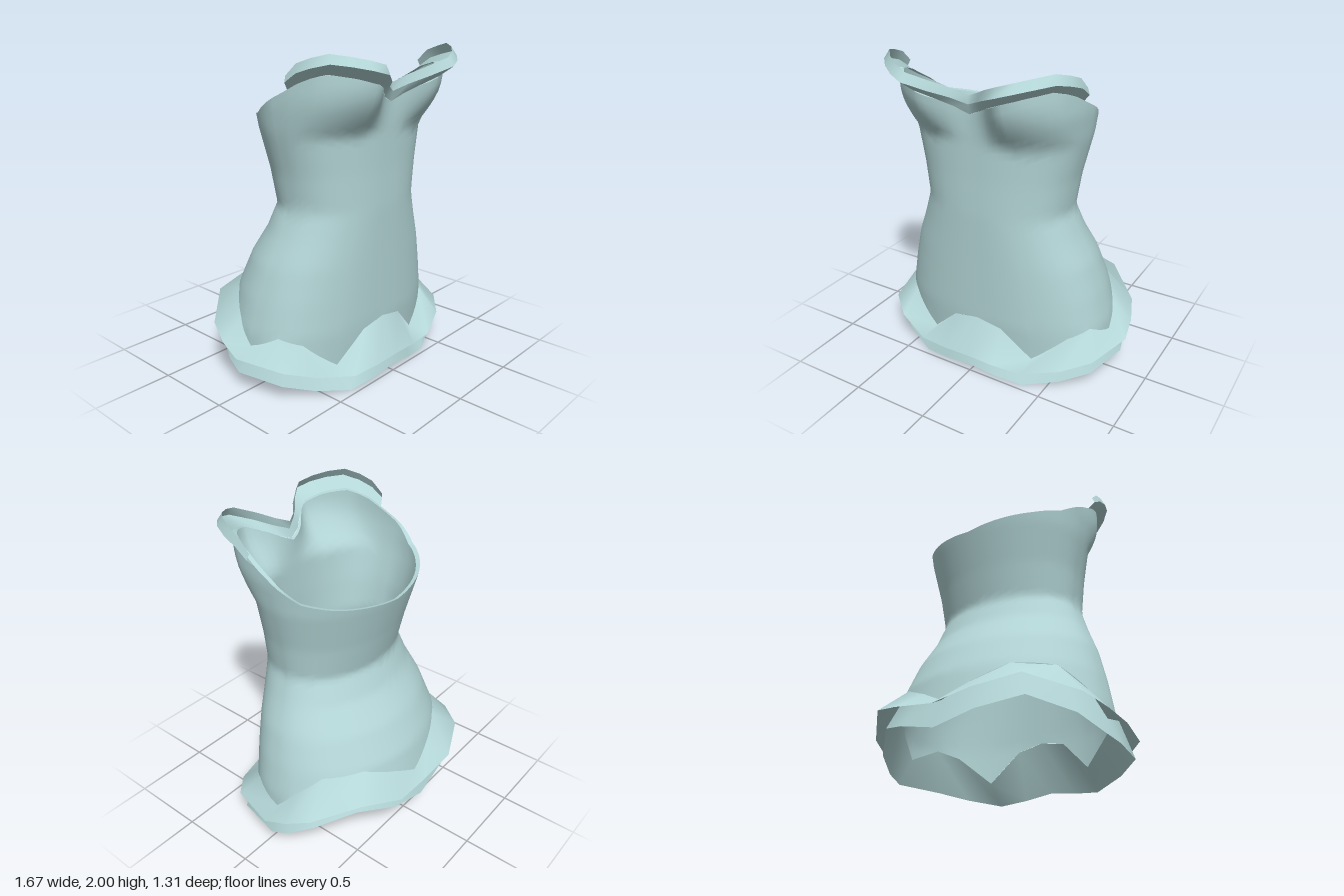
import * as THREE from 'three';

const fabric = new THREE.MeshStandardMaterial({ color: 0xb4d6d7, side: THREE.DoubleSide });
fabric.name = 'pale teal fabric';

// Body sections: height, half width, front z, back z, z of the widest line
const SECTIONS = [
  [0.10, 0.73, 0.38, -0.60, -0.03], [0.35, 0.715, 0.405, -0.575, -0.03],
  [0.55, 0.67, 0.41, -0.53, -0.01], [0.75, 0.61, 0.415, -0.435, 0.02],
  [0.92, 0.535, 0.42, -0.32, 0.05], [1.08, 0.475, 0.425, -0.255, 0.07],
  [1.30, 0.505, 0.425, -0.31, 0.07], [1.55, 0.56, 0.43, -0.38, 0.06],
  [1.72, 0.58, 0.43, -0.42, 0.06], [2.00, 0.57, 0.43, -0.42, 0.06],
];
// Neckline: angle from the front, height
const NECK = [[0, 1.70], [0.2, 1.775], [0.42, 1.83], [0.7, 1.87], [1.02, 1.89], [1.25, 1.86],
  [1.42, 1.80], [1.57, 1.745], [1.96, 1.64], [2.36, 1.60], [Math.PI, 1.55]];
// Scalloped hem: angle, seam height, upper frill edge x y z, lower frill edge x y z
const HEM = [
  [0, 0.35, 0, 0.125, 0.52, 0, 0.045, 0.50],
  [0.18, 0.315, 0.18, 0.12, 0.52, 0.18, 0.02, 0.49],
  [0.45, 0.13, 0.37, 0.115, 0.50, 0.36, 0, 0.46],
  [0.87, 0.31, 0.60, 0.165, 0.41, 0.57, 0.05, 0.37],
  [1.19, 0.355, 0.75, 0.205, 0.28, 0.73, 0.10, 0.25],
  [1.57, 0.265, 0.835, 0.22, -0.03, 0.80, 0.11, -0.05],
  [1.80, 0.40, 0.81, 0.27, -0.18, 0.77, 0.15, -0.17],
  [2.12, 0.53, 0.75, 0.33, -0.33, 0.70, 0.23, -0.31],
  [2.55, 0.54, 0.52, 0.42, -0.55, 0.50, 0.32, -0.49],
  [2.90, 0.45, 0.27, 0.36, -0.66, 0.26, 0.26, -0.61],
  [Math.PI, 0.37, 0, 0.33, -0.65, 0, 0.20, -0.63],
];

// Linear lookup of a table row by its first column
function lookup(table, key) {
  let i = 0;
  while (i < table.length - 2 && key > table[i + 1][0]) i++;
  const a = table[i], b = table[i + 1];
  const t = THREE.MathUtils.clamp((key - a[0]) / (b[0] - a[0]), 0, 1);
  return a.map((v, k) => v + (b[k] - v) * t);
}

// Point on the body at an angle from the front and a height
function bodyPoint(angle, y) {
  const [, w, front, back, mid] = lookup(SECTIONS, y);
  const s = Math.sin(angle), c = Math.cos(angle);
  const e = c > 0 ? 2 / 2.4 : 1;
  const x = w * Math.sign(s) * Math.pow(Math.abs(s), e);
  let z = mid + (c > 0 ? (front - mid) * Math.pow(c, e) : (back - mid) * -c);
  if (c > 0) {
    // two cups swelling out of the upper front
    const d = Math.abs(x) - 0.28;
    const across = Math.exp(-Math.pow(d / (d < 0 ? 0.15 : 0.4), 2));
    const rise = Math.sin(THREE.MathUtils.clamp((y - 1.53) / 0.32, 0, 1) * Math.PI / 2);
    z += 0.17 * across * rise * Math.min(1, c * 2.5);
  }
  return new THREE.Vector3(x, y, z);
}

const neckPoint = (a) => bodyPoint(a, lookup(NECK, Math.abs(a))[1]);

// Surface through rows of points; closed rows wrap around
function sheet(name, rows, closed) {
  const n = rows[0].length, pos = [], index = [];
  rows.forEach((row) => row.forEach((p) => pos.push(p.x, p.y, p.z)));
  for (let r = 0; r < rows.length - 1; r++) {
    for (let i = 0; i < (closed ? n : n - 1); i++) {
      const j = (i + 1) % n;
      const a = r * n + i, b = r * n + j, c = a + n, d = b + n;
      index.push(a, b, d, a, d, c);
    }
  }
  const g = new THREE.BufferGeometry();
  g.setAttribute('position', new THREE.Float32BufferAttribute(pos, 3));
  g.setIndex(index);
  g.computeVertexNormals();
  const mesh = new THREE.Mesh(g, fabric);
  mesh.name = name;
  return mesh;
}

// Mirror a half list of angles (0 to PI) into a full loop
const fullLoop = (half) => [...half.slice(1, -1).reverse().map((a) => -a), ...half];

export function createModel() {
  const group = new THREE.Group();
  group.name = 'corset';

  const keys = HEM.map((h) => h[0]);
  const fine = [];
  for (let i = 0; i < keys.length - 1; i++) {
    for (let k = 0; k < 4; k++) fine.push(keys[i] + (keys[i + 1] - keys[i]) * k / 4);
  }
  fine.push(Math.PI);
  const angles = fullLoop(fine);

  // Body from scalloped seam to neckline
  const ROWS = 36, body = [];
  for (let r = 0; r <= ROWS; r++) {
    body.push(angles.map((a) => {
      const low = lookup(HEM, Math.abs(a))[1], high = lookup(NECK, Math.abs(a))[1];
      return bodyPoint(a, low + (high - low) * r / ROWS);
    }));
  }
  group.add(sheet('body', body, true));

  // Thin turned-in edge at the neckline
  const neck = angles.map(neckPoint);
  const inner = neck.map((p) => new THREE.Vector3(p.x * 0.96, p.y - 0.004, p.z - Math.sign(p.z) * Math.min(0.02, Math.abs(p.z) * 0.2)));
  group.add(sheet('neckEdge', [neck, inner], true));

  // Two flared frills hanging from the seam
  const loop = fullLoop(keys);
  const seam = loop.map((a) => bodyPoint(a, lookup(HEM, Math.abs(a))[1]));
  [['upperFrill', 2], ['lowerFrill', 5]].forEach(([name, k]) => {
    const edge = loop.map((a) => {
      const h = lookup(HEM, Math.abs(a));
      return new THREE.Vector3(h[k] * Math.sign(a), h[k + 1], h[k + 2]);
    });
    group.add(sheet(name, [edge, seam], true));
  });

  // Folded trim over the cups: flares out to a ridge, then turns up
  const half = [0, 0.1, 0.22, 0.42, 0.6, 0.8, 1.02, 1.2, 1.32, 1.42];
  const trimAngles = [...half.slice(1).reverse().map((a) => -a), ...half];
  const trimRow = (out, up) => trimAngles.map((a) => {
    const p = neckPoint(a), m = Math.abs(a);
    const dir = new THREE.Vector3(p.x * 0.6, 0, p.z).normalize();
    const size = Math.min(1, 0.15 + m * 3) * (m > 1.1 ? 1 - (m - 1.1) * 1.6 : 1);
    p.addScaledVector(dir, out * size);
    p.y += up * (m > 1.35 ? 0.7 : 1);
    return p;
  });
  const lowRow = trimRow(0, 0), ridge = trimRow(0.085, 0.06), top = trimRow(0.05, 0.11);
  group.add(sheet('trimUnderside', [lowRow, ridge], false));
  group.add(sheet('trimUpper', [ridge, top], false));

  return group;
}
